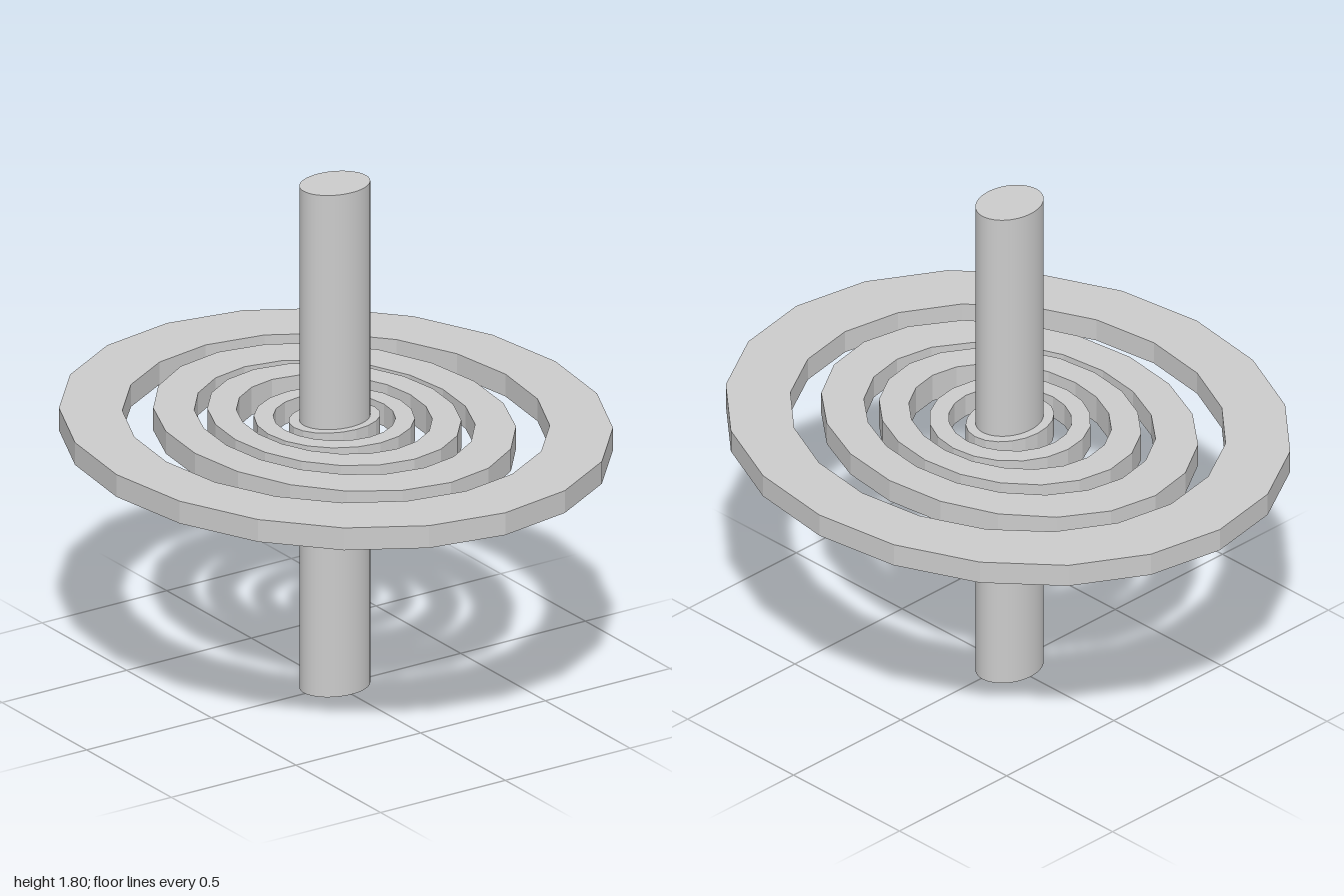
import * as THREE from 'three';

const SIDES = 20;
const MID_Y = 0.92;

// points of an elliptical polygon with a corner on each axis
function ellipse(rx, rz) {
  return Array.from({ length: SIDES }, (_, i) => {
    const a = (i / SIDES) * Math.PI * 2;
    return new THREE.Vector2(rx * Math.cos(a), rz * Math.sin(a));
  });
}

// flat faceted ring with an elliptical hole, centred on MID_Y
function ring(name, [outX, outZ], [inX, inZ], height, z, material) {
  const shape = new THREE.Shape(ellipse(outX, outZ));
  shape.holes.push(new THREE.Path(ellipse(inX, inZ)));
  const geo = new THREE.ExtrudeGeometry(shape, { depth: height, bevelEnabled: false });
  geo.translate(0, 0, -height / 2);
  geo.rotateX(-Math.PI / 2);
  const mesh = new THREE.Mesh(geo, material);
  mesh.name = name;
  mesh.position.set(0, MID_Y, z);
  return mesh;
}

export function createModel() {
  const group = new THREE.Group();
  group.name = 'ringedSpindle';
  const flat = new THREE.MeshStandardMaterial({ color: 0xcccccc, flatShading: true });
  const smooth = new THREE.MeshStandardMaterial({ color: 0xcccccc });

  // concentric rings, outermost first
  const rings = [
    ['outerRing', [0.88, 1.0], [0.68, 0.77], 0.08, 0],
    ['secondRing', [0.56, 0.688], [0.434, 0.532], 0.08, -0.008],
    ['thirdRing', [0.396, 0.474], [0.305, 0.367], 0.1, -0.01],
    ['innerRing', [0.265, 0.273], [0.2, 0.21], 0.08, -0.01],
    ['shaftCollar', [0.162, 0.13], [0.12, 0.094], 0.08, -0.009],
  ];
  for (const [name, outer, inner, height, z] of rings) {
    group.add(ring(name, outer, inner, height, z, flat));
  }

  // oval central shaft
  const shaftGeo = new THREE.CylinderGeometry(1, 1, 1.8, 48);
  shaftGeo.scale(0.125, 1, 0.1);
  const shaft = new THREE.Mesh(shaftGeo, smooth);
  shaft.name = 'shaft';
  shaft.position.set(0, 0.9, -0.007);
  group.add(shaft);

  return group;
}
